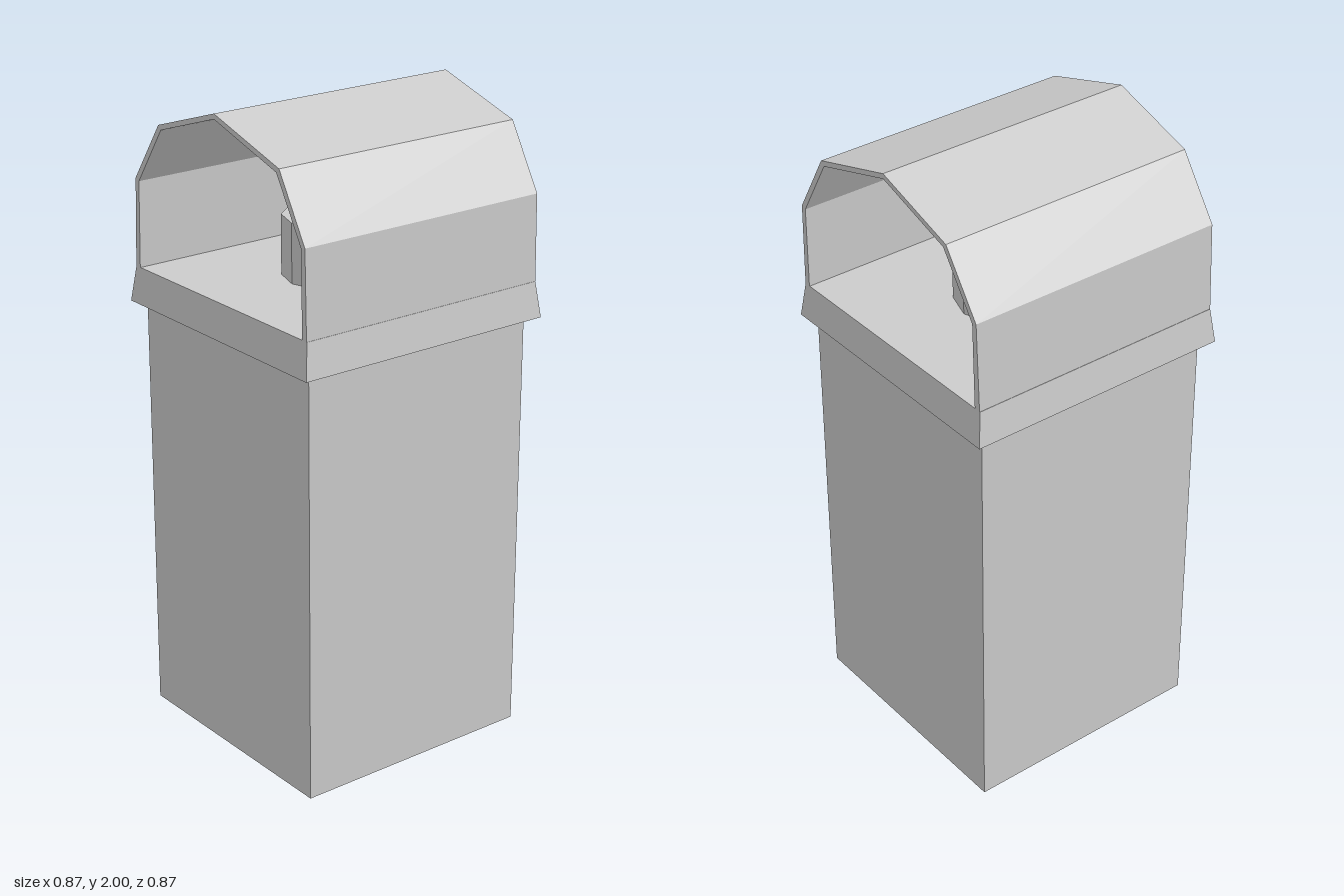
import * as THREE from 'three';

export function createModel() {
  const model = new THREE.Group();
  const material = new THREE.MeshStandardMaterial({ color: 0xcccccc, flatShading: true });

  const add = (name, geometry, x, y, z) => {
    const mesh = new THREE.Mesh(geometry, material);
    mesh.name = name;
    mesh.position.set(x, y, z);
    model.add(mesh);
  };

  // Square stack
  add('chimneyStack', new THREE.BoxGeometry(0.795, 1.34, 0.795), 0, 0.67, 0);

  // Flared slab overhanging the stack
  const slab = new THREE.CylinderGeometry(0.419 * Math.SQRT2, 0.433 * Math.SQRT2, 0.11, 4);
  slab.rotateY(Math.PI / 4);
  add('flaredCap', slab, 0, 1.395, 0);

  // Ten-sided flue pot
  add('fluePot', new THREE.CylinderGeometry(0.155, 0.155, 0.185, 10), 0, 1.5425, 0);

  // Thin arched hood, open at front and back: outer outline, then inner one back
  const outer = [[-0.418, 1.45], [-0.406, 1.725], [-0.278, 1.91], [0, 2], [0.3, 1.91], [0.413, 1.715], [0.418, 1.45]];
  const inner = [[0.398, 1.45], [0.396, 1.71], [0.287, 1.897], [0, 1.984], [-0.266, 1.897], [-0.389, 1.718], [-0.397, 1.45]];
  const profile = new THREE.Shape([...outer, ...inner].map(([x, y]) => new THREE.Vector2(x, y)));
  add('archedHood', new THREE.ExtrudeGeometry(profile, { depth: 0.84, bevelEnabled: false }), 0, 0, -0.42);

  return model;
}
